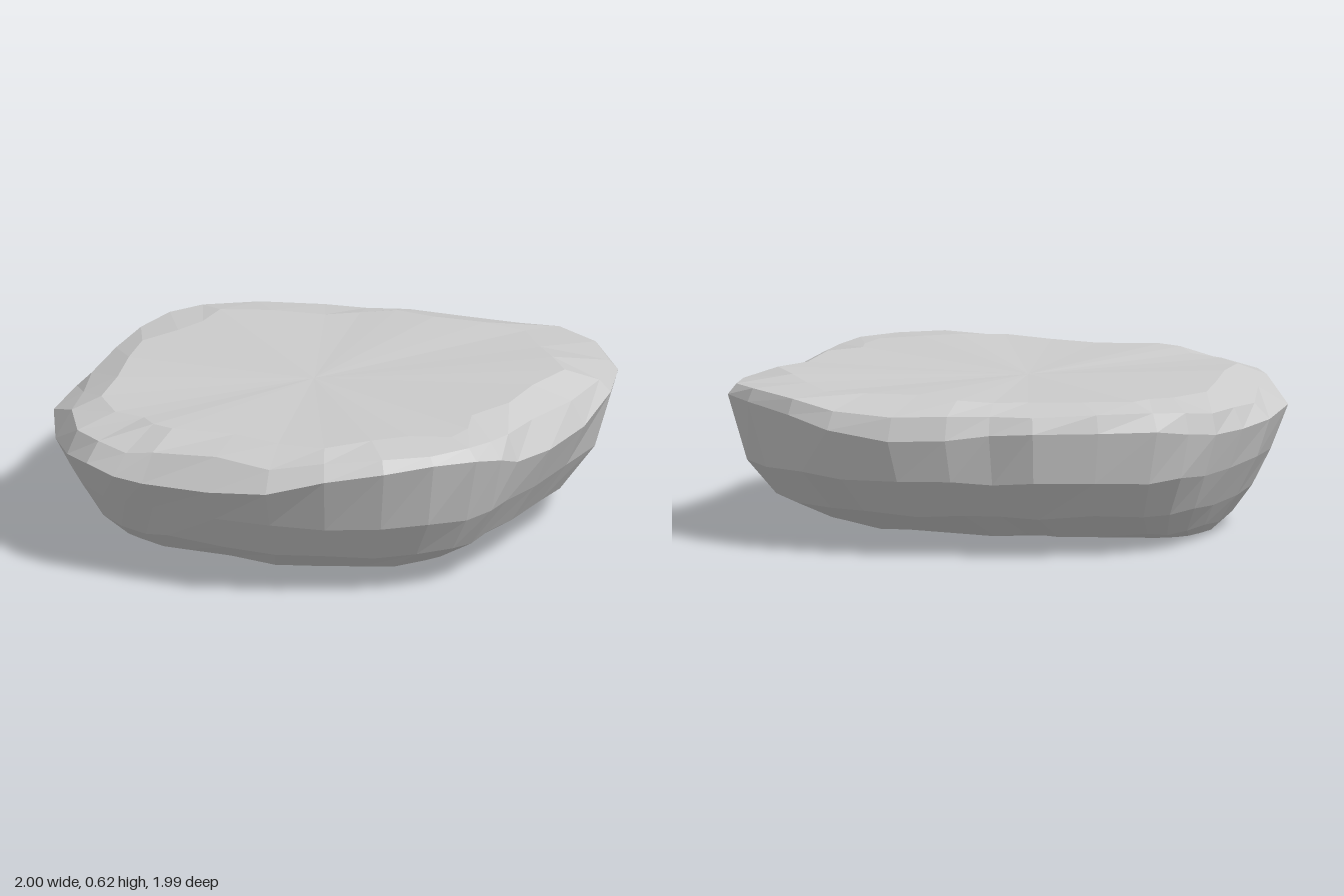
import * as THREE from 'three';

// Widest outline, anticlockwise from above: x, z, crease height, top edge height
const RIM = [
  [0.98, -0.2, 0.46, 0.56], [1, -0.42, 0.53, 0.58], [0.95, -0.62, 0.55, 0.59], [0.82, -0.77, 0.55, 0.6],
  [0.61, -0.91, 0.53, 0.59], [0.43, -0.98, 0.49, 0.56], [0.18, -1, 0.46, 0.55], [-0.04, -0.97, 0.47, 0.56],
  [-0.2, -0.92, 0.49, 0.56], [-0.37, -0.9, 0.5, 0.56], [-0.6, -0.8, 0.5, 0.57], [-0.8, -0.69, 0.5, 0.57],
  [-0.89, -0.58, 0.48, 0.56], [-0.95, -0.43, 0.46, 0.54], [-0.98, -0.2, 0.45, 0.53], [-1, 0.06, 0.45, 0.51],
  [-0.97, 0.37, 0.46, 0.53], [-0.87, 0.6, 0.43, 0.54], [-0.75, 0.78, 0.44, 0.53], [-0.63, 0.88, 0.45, 0.53],
  [-0.5, 0.93, 0.43, 0.51], [-0.38, 0.94, 0.42, 0.53], [-0.1, 0.97, 0.43, 0.55], [0.15, 0.99, 0.46, 0.54],
  [0.37, 0.94, 0.52, 0.58], [0.58, 0.85, 0.55, 0.6], [0.74, 0.74, 0.57, 0.6], [0.86, 0.6, 0.56, 0.6],
  [0.91, 0.47, 0.53, 0.59], [0.92, 0.33, 0.48, 0.58], [0.96, 0.1, 0.46, 0.57],
];
// How far the top edge is drawn in from the outline
const INSET = [
  0.95, 0.96, 0.97, 0.98, 0.98, 0.97, 0.97, 0.97, 0.97, 0.97, 0.98, 0.97, 0.98, 0.98, 0.96, 0.94,
  0.89, 0.94, 0.96, 0.95, 0.94, 0.94, 0.92, 0.94, 0.95, 0.97, 0.97, 0.95, 0.94, 0.95, 0.92,
];
// Underside rings: height, centre x, centre z, scale x, scale z
const UNDERSIDE = [
  [0.005, -0.12, 0.08, 0.63, 0.34],
  [0.05, -0.07, 0.03, 0.73, 0.6],
  [0.15, -0.02, 0, 0.85, 0.8],
  [0.3, -0.01, -0.02, 0.94, 0.93],
];

function createStoneGeometry() {
  const n = RIM.length;
  const rings = UNDERSIDE.map(([y, cx, cz, sx, sz], k) =>
    RIM.map(([x, z], i) => {
      const bump = k === 0 ? 0 : 0.008 * Math.sin(i * 2.3 + k * 1.7);
      return [cx + x * (sx + bump), y + bump, cz + z * (sz + bump)];
    }));
  rings.push(RIM.map(([x, z, low]) => [x, low, z]));
  rings.push(RIM.map(([x, z, , top], i) => [x * INSET[i], top, z * INSET[i]]));
  // Gently uneven plateau
  rings.push(RIM.map(([x, z], i) => {
    const s = 0.8 + 0.04 * Math.sin(i * 1.9);
    return [x * s, 0.6 + 0.015 * x + 0.007 * Math.sin(i * 1.3), z * s];
  }));

  const positions = [];
  const tri = (a, b, c) => positions.push(...a, ...b, ...c);
  const bottom = [-0.1, 0, 0.06];
  const top = [-0.05, 0.585, 0];
  for (let i = 0; i < n; i++) {
    const j = (i + 1) % n;
    tri(bottom, rings[0][j], rings[0][i]);
    for (let k = 0; k < rings.length - 1; k++) {
      const a = rings[k], b = rings[k + 1];
      tri(a[i], a[j], b[j]);
      tri(a[i], b[j], b[i]);
    }
    tri(top, rings[rings.length - 1][i], rings[rings.length - 1][j]);
  }
  const geometry = new THREE.BufferGeometry();
  geometry.setAttribute('position', new THREE.Float32BufferAttribute(positions, 3));
  geometry.computeVertexNormals();
  return geometry;
}

export function createModel() {
  const group = new THREE.Group();
  group.name = 'flatRock';
  const stone = new THREE.Mesh(
    createStoneGeometry(),
    new THREE.MeshStandardMaterial({ color: 0xcccccc, flatShading: true }),
  );
  stone.name = 'stone';
  group.add(stone);
  return group;
}
